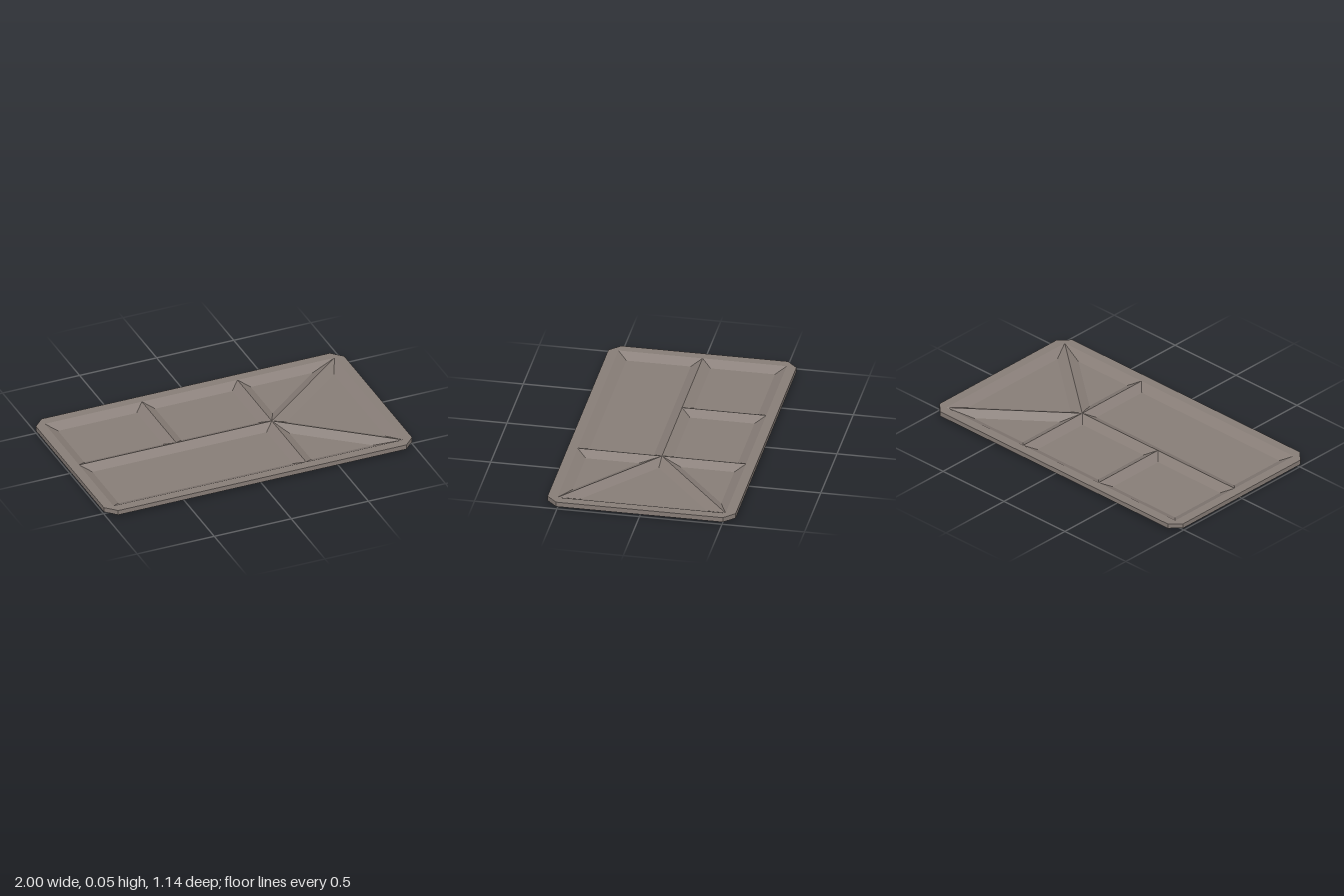
import * as THREE from 'three';

const TOP = 0.045, FLOOR = 0.015, BEVEL = 0.06;

// Flat-faced mesh from convex polygons, each a list of [x, y, z] corners
function facetMesh(name, polygons, material) {
  const pos = [];
  for (const poly of polygons) {
    const p = poly.filter((c, i) => {
      const n = poly[(i + 1) % poly.length];
      return Math.hypot(c[0] - n[0], c[1] - n[1], c[2] - n[2]) > 1e-6;
    });
    for (let i = 1; i < p.length - 1; i++) pos.push(...p[0], ...p[i], ...p[i + 1]);
  }
  const geo = new THREE.BufferGeometry();
  geo.setAttribute('position', new THREE.Float32BufferAttribute(pos, 3));
  geo.computeVertexNormals();
  const mesh = new THREE.Mesh(geo, material);
  mesh.name = name;
  return mesh;
}

// Plan points are [x, v] with v = -z, counter-clockwise seen from above
const at = ([x, v], y) => [x, y, -v];

// Quads joining two matching plan loops at two heights
const band = (a, ya, b, yb) => a.map((p, i) => {
  const j = (i + 1) % a.length;
  return [at(p, ya), at(a[j], ya), at(b[j], yb), at(b[i], yb)];
});

// Move every edge of a convex plan loop inward by d
function inset(loop, d) {
  const n = loop.length;
  const unit = (a, b) => {
    const l = Math.hypot(b[0] - a[0], b[1] - a[1]);
    return [(b[0] - a[0]) / l, (b[1] - a[1]) / l];
  };
  return loop.map((p, i) => {
    const e = unit(loop[(i + n - 1) % n], p), f = unit(p, loop[(i + 1) % n]);
    const k = d / (1 + e[0] * f[0] + e[1] * f[1]);
    return [p[0] - (e[1] + f[1]) * k, p[1] + (e[0] + f[0]) * k];
  });
}

export function createModel() {
  const group = new THREE.Group();
  group.name = 'panelledSlab';
  const stone = new THREE.MeshStandardMaterial({ color: 0x877d77 });
  stone.name = 'warm grey';

  // Outline with clipped corners, and the inner rectangle it bevels towards
  const X = 0.94, V = 0.51;
  const outline = [[-0.935, -0.57], [0.935, -0.57], [1, -0.505], [1, 0.505],
    [0.935, 0.57], [-0.935, 0.57], [-1, 0.505], [-1, -0.505]];
  const inner = outline.map(([x, v]) => [Math.sign(x) * X, Math.sign(v) * V]);

  group.add(facetMesh('rim', band(outline, TOP, inner, TOP), stone));
  group.add(facetMesh('sideWall', band(outline, FLOOR, outline, TOP), stone));
  group.add(facetMesh('lowerBevel', band(inner, 0, outline, FLOOR), stone));
  group.add(facetMesh('underside', [[[-X, 0, -V], [X, 0, -V], [X, 0, V], [-X, 0, V]]], stone));

  // Sunken panels with sloping edges that meet in sharp ridges
  const C = 0.31;
  const panels = {
    backLeftPanel: [[-C, 0], [C, 0], [C, V], [-C, V]],
    backRightPanel: [[-X, 0], [-C, 0], [-C, V], [-X, V]],
    frontPanel: [[-X, -V], [C, -V], [C, 0], [-X, 0]],
    backTrianglePanel: [[C, 0], [X, V], [C, V]],
    frontTrianglePanel: [[C, -V], [X, -V], [C, 0]],
    endTrianglePanel: [[C, 0], [X, -V], [X, V]],
  };
  for (const [name, loop] of Object.entries(panels)) {
    const floor = inset(loop, BEVEL);
    const faces = band(loop, TOP, floor, FLOOR);
    faces.push(floor.map((p) => at(p, FLOOR)));
    group.add(facetMesh(name, faces, stone));
  }
  return group;
}
